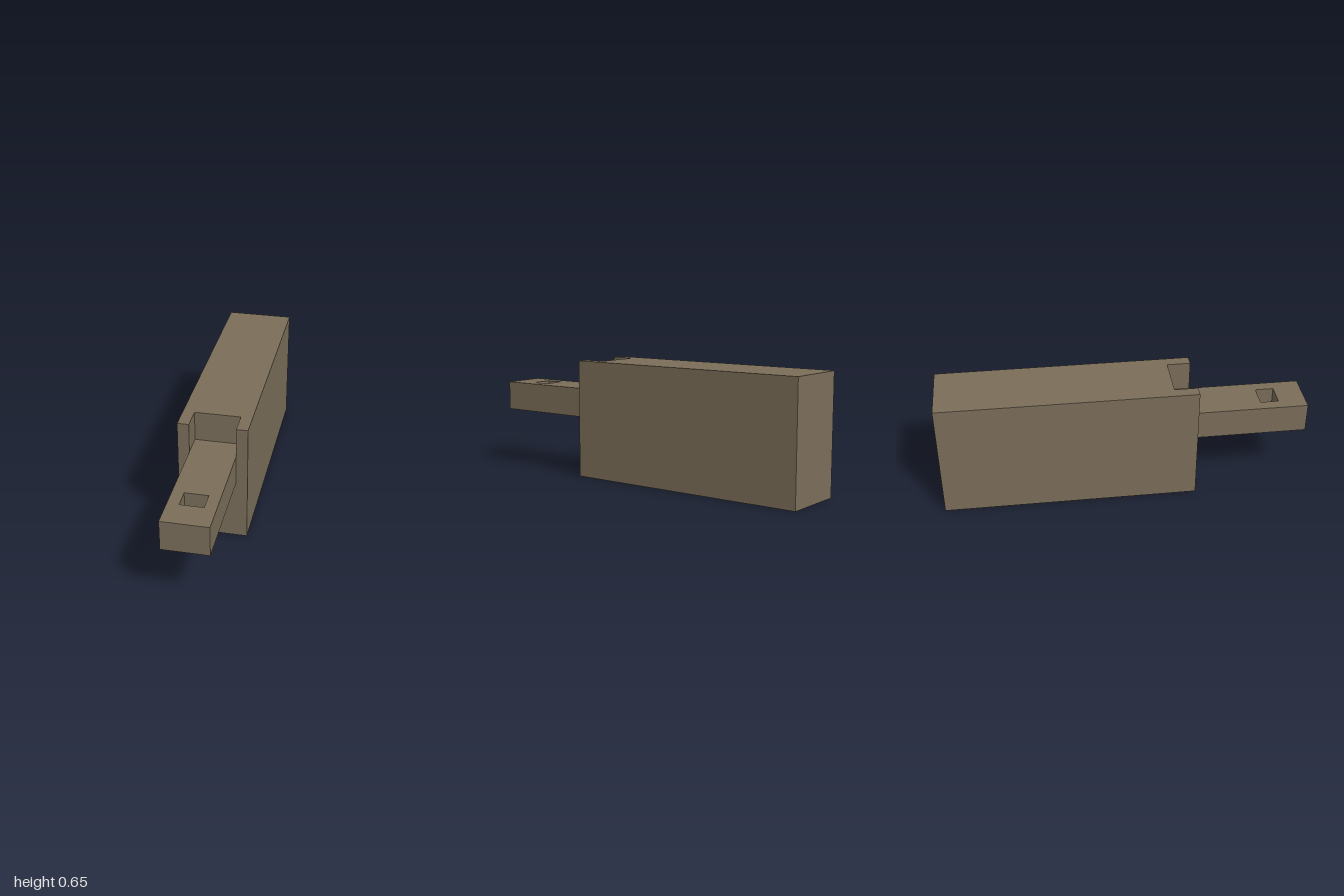
import * as THREE from 'three';

// Main dimensions
const W = 0.183, H = 0.655, BACK = -1, FRONT = 0.387;
const ARM_W = 0.122, ARM_LOW = 0.328, ARM_TOP = 0.491, SLOT_BACK = 0.26;

// Flat polygon facing along axis (0 x, 1 y, 2 z); points are in the next two axes
function addFace(out, axis, sign, at, points) {
  const pts = points.map(([a, b]) => new THREE.Vector2(a, b));
  for (const t of THREE.ShapeUtils.triangulateShape(pts, [])) {
    const tri = t.map((i) => pts[i]);
    if (THREE.ShapeUtils.area(tri) * sign < 0) tri.reverse();
    for (const p of tri) {
      const v = [0, 0, 0];
      v[axis] = at;
      v[(axis + 1) % 3] = p.x;
      v[(axis + 2) % 3] = p.y;
      out.push(...v);
    }
  }
}

const rect = (a0, b0, a1, b1) => [[a0, b0], [a1, b0], [a1, b1], [a0, b1]];

// Tall block with a slot cut into its upper front edge
function bodyGeometry() {
  const out = [];
  for (const s of [-1, 1]) {
    addFace(out, 0, s, s * W, rect(0, BACK, H, FRONT)); // outer sides
    addFace(out, 0, -s, s * ARM_W, rect(ARM_LOW, SLOT_BACK, H, FRONT)); // slot walls
  }
  addFace(out, 1, -1, 0, rect(BACK, -W, FRONT, W)); // underside
  addFace(out, 2, -1, BACK, rect(-W, 0, W, H)); // back
  addFace(out, 2, 1, SLOT_BACK, rect(-ARM_W, ARM_LOW, ARM_W, H)); // slot back
  addFace(out, 1, 1, ARM_LOW, rect(SLOT_BACK, -ARM_W, FRONT, ARM_W)); // slot floor
  // Top and front outlines with the slot notched out
  addFace(out, 1, 1, H, [[BACK, -W], [FRONT, -W], [FRONT, -ARM_W], [SLOT_BACK, -ARM_W],
    [SLOT_BACK, ARM_W], [FRONT, ARM_W], [FRONT, W], [BACK, W]]);
  addFace(out, 2, 1, FRONT, [[-W, 0], [W, 0], [W, H], [ARM_W, H],
    [ARM_W, ARM_LOW], [-ARM_W, ARM_LOW], [-ARM_W, H], [-W, H]]);
  const geo = new THREE.BufferGeometry();
  geo.setAttribute('position', new THREE.Float32BufferAttribute(out, 3));
  geo.computeVertexNormals();
  return geo;
}

// Flat bar with a rectangular hole near its tip
function armGeometry() {
  const toVec = ([x, z]) => new THREE.Vector2(x, z);
  const shape = new THREE.Shape(rect(-ARM_W, SLOT_BACK, ARM_W, 1).map(toVec));
  shape.holes.push(new THREE.Path(rect(-0.061, 0.75, 0.061, 0.85).map(toVec)));
  return new THREE.ExtrudeGeometry(shape, { depth: ARM_TOP - ARM_LOW, bevelEnabled: false })
    .rotateX(Math.PI / 2)
    .translate(0, ARM_TOP, 0);
}

export function createModel() {
  const group = new THREE.Group();
  group.name = 'slottedBlockWithArm';
  const brown = new THREE.MeshStandardMaterial({ color: 0x7b6e5a });
  brown.name = 'dull brown';

  const body = new THREE.Mesh(bodyGeometry(), brown);
  body.name = 'body';
  const arm = new THREE.Mesh(armGeometry(), brown);
  arm.name = 'arm';
  group.add(body, arm);
  return group;
}
